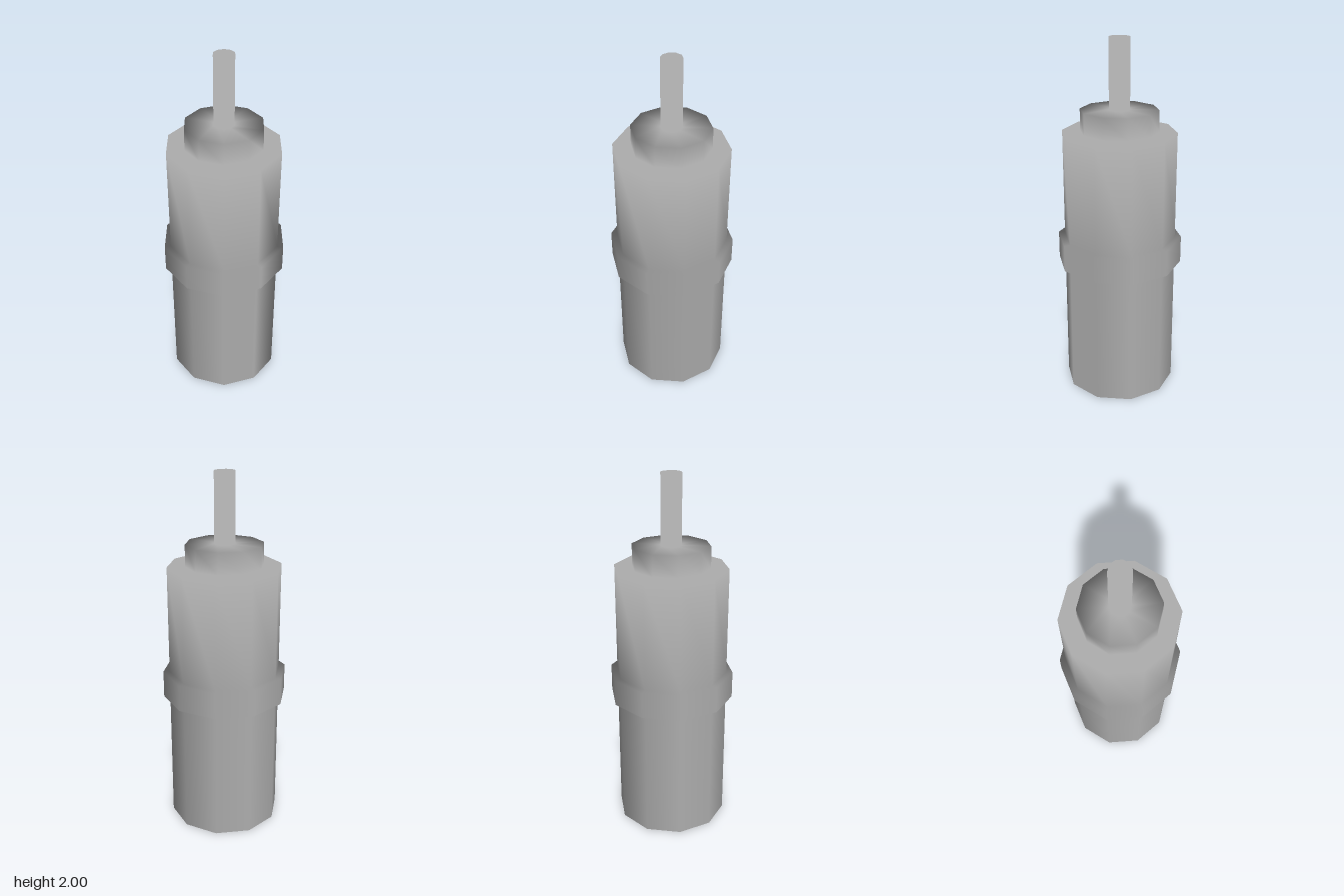
import * as THREE from 'three';

const SIDES = 10;
const STEP = (Math.PI * 2) / SIDES;
const START = Math.PI / 2 + STEP;
// Normal kinds used along the profiles
const OUT = 0, UP = 1, DOWN = -1;

export function createModel() {
  const model = new THREE.Group();
  model.name = 'steppedPlunger';
  const material = new THREE.MeshStandardMaterial({ color: 0xaeaeae });

  // Ten-sided turned part from a profile of [radius, height, normal kind], bottom to top
  function turned(name, profile) {
    const points = profile.map(([r, y]) => new THREE.Vector2(r, y));
    const geometry = new THREE.LatheGeometry(points, SIDES, START);
    const normal = geometry.attributes.normal;
    for (let i = 0; i <= SIDES; i++) {
      // Each column leans to the facet before it; the first facet stays flat
      const angle = START + (i % SIDES === 0 ? 0.5 : i - 0.5) * STEP;
      profile.forEach(([, , kind], j) => {
        const k = i * profile.length + j;
        if (kind === OUT) normal.setXYZ(k, Math.sin(angle), 0, Math.cos(angle));
        else normal.setXYZ(k, 0, kind, 0);
      });
    }
    const mesh = new THREE.Mesh(geometry, material);
    mesh.name = name;
    model.add(mesh);
  }

  // Stacked from the ground up
  turned('lowerBody', [[0, 0, DOWN], [0.313, 0, OUT], [0.313, 0.75, OUT]]);
  turned('middleBand', [[0.313, 0.75, OUT], [0.348, 0.75, OUT], [0.348, 0.9, OUT], [0.313, 0.9, OUT]]);
  turned('upperBody', [[0.313, 0.9, OUT], [0.313, 1.5, UP], [0.214, 1.5, UP]]);
  turned('topCollar', [[0.214, 1.5, UP], [0.214, 1.62, OUT], [0.057, 1.62, UP]]);
  turned('shaft', [[0.057, 1.62, UP], [0.057, 2, UP], [0, 2, UP]]);

  return model;
}
